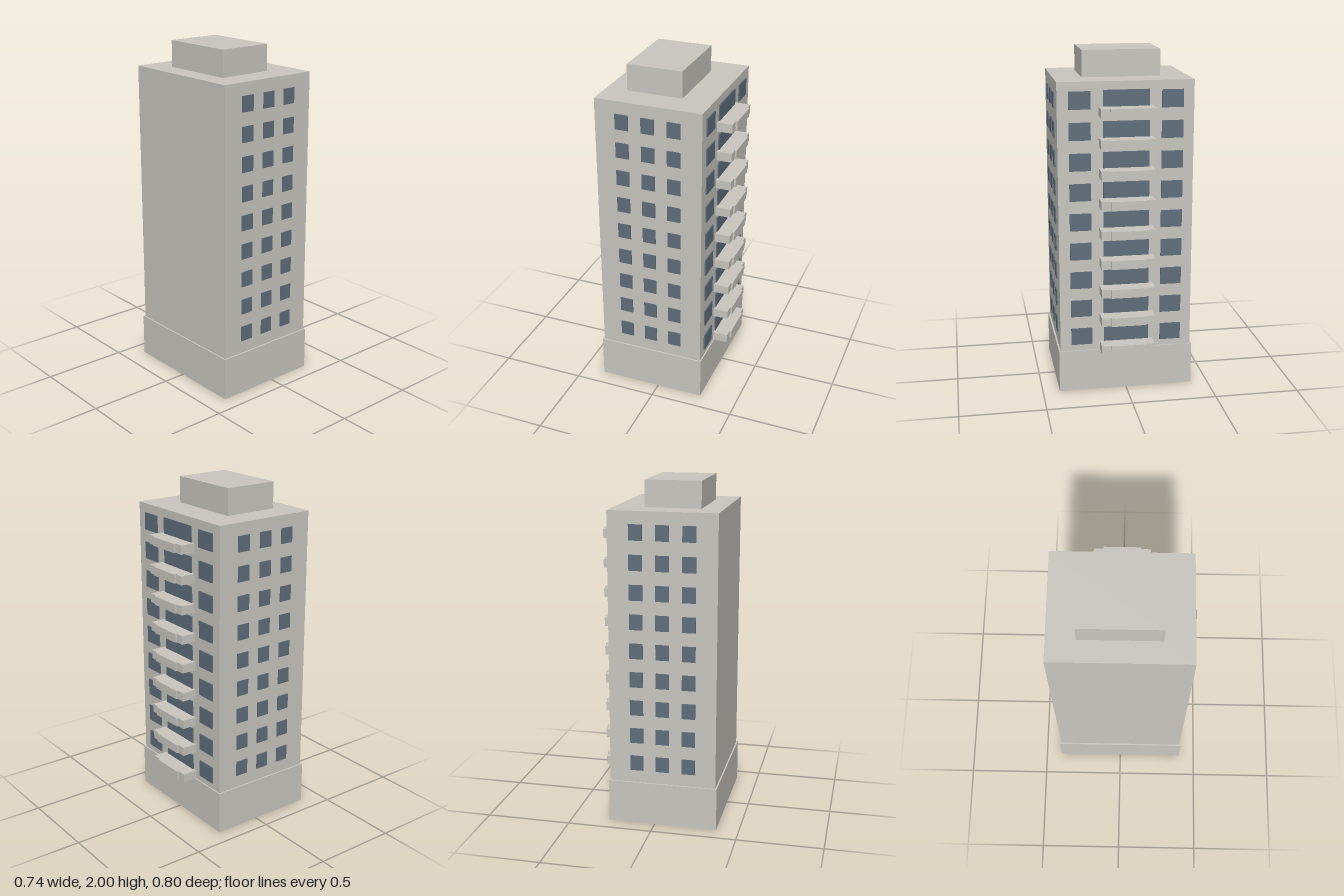
import * as THREE from 'three';

export function createModel() {
  const concrete = new THREE.MeshStandardMaterial({ color: 0xc8c6bf });
  concrete.name = 'concrete';
  const glass = new THREE.MeshStandardMaterial({ color: 0x5f6d7a });
  glass.name = 'blue grey glass';

  const model = new THREE.Group();
  model.name = 'apartmentTower';

  // Box given by its lower and upper limits on each axis
  function block(name, material, [x0, x1], [y0, y1], [z0, z1], parent = model) {
    const mesh = new THREE.Mesh(new THREE.BoxGeometry(x1 - x0, y1 - y0, z1 - z0), material);
    mesh.position.set((x0 + x1) / 2, (y0 + y1) / 2, (z0 + z1) / 2);
    mesh.name = name;
    parent.add(mesh);
  }

  // Main masses
  block('base', concrete, [-0.368, 0.276], [0, 0.253], [-0.4, 0.4]);
  block('tower', concrete, [-0.359, 0.268], [0.253, 1.846], [-0.39, 0.39]);
  block('roofHouse', concrete, [-0.234, 0.091], [1.846, 2], [-0.229, 0.226]);

  for (let i = 0; i < 9; i++) {
    const floor = new THREE.Group();
    floor.name = 'floor' + (i + 1);
    model.add(floor);

    // Three windows on the front and on the back
    const y = 0.329 + i * 0.1692;
    for (const x of [-0.238, -0.085, 0.067]) {
      block('frontWindow', glass, [x, x + 0.078], [y, y + 0.09], [0.389, 0.396], floor);
      block('backWindow', glass, [x, x + 0.078], [y, y + 0.09], [-0.396, -0.389], floor);
    }

    // Balcony side: two windows and a wide balcony door
    const s = 0.253 + i * 0.175;
    block('sideWindow', glass, [0.267, 0.275], [s + 0.039, s + 0.14], [0.202, 0.326], floor);
    block('sideWindow', glass, [0.267, 0.275], [s + 0.039, s + 0.14], [-0.328, -0.204], floor);
    block('balconyDoor', glass, [0.267, 0.274], [s + 0.03, s + 0.145], [-0.134, 0.132], floor);

    // Balcony with a raised middle panel
    block('balcony', concrete, [0.267, 0.357], [s, s + 0.052], [-0.157, 0.156], floor);
    block('balconyPanel', concrete, [0.356, 0.368], [s, s + 0.052], [-0.104, 0.102], floor);
  }
  return model;
}
